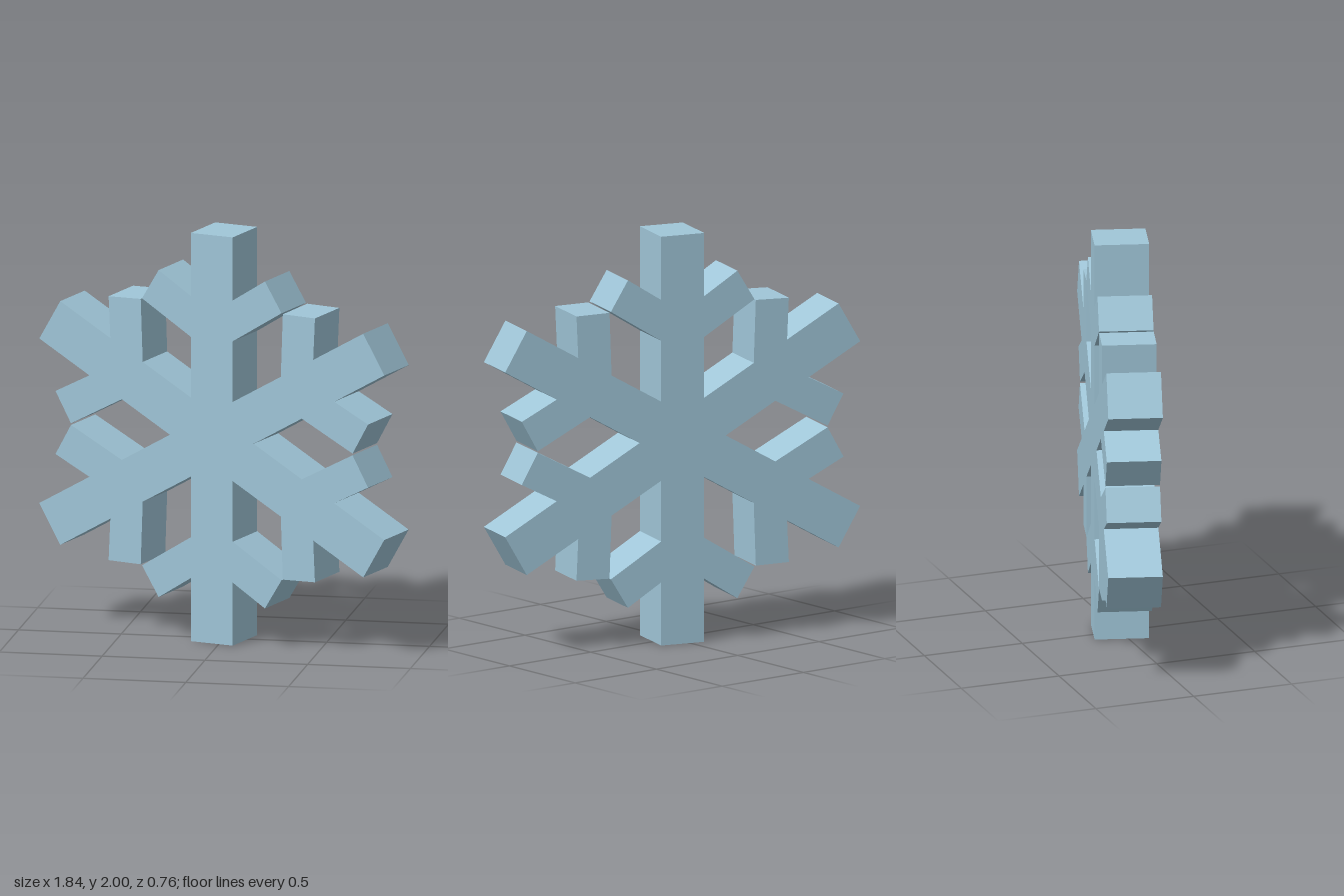
import * as THREE from 'three';

// Right half of one arm, from the inner notch to the tip
const HALF_ARM = [
  [0.112, 0.194],
  [0.112, 0.491], // branch underside
  [0.373, 0.654],
  [0.284, 0.801],
  [0.112, 0.691], // branch upper side
  [0.112, 1.0],
];
const DEPTH = 0.262;

export function createModel() {
  const ice = new THREE.MeshStandardMaterial({ color: 0xa0c6d8 });
  ice.name = 'iceBlue';

  // Mirrored half arms, repeated clockwise around the centre
  const left = HALF_ARM.slice(1).map(([x, y]) => [-x, y]);
  const arm = [...left, ...HALF_ARM.slice().reverse()];
  const outline = [];
  for (let i = 0; i < 6; i++) {
    const a = (i * Math.PI) / 3;
    const c = Math.cos(a), s = Math.sin(a);
    for (const [x, y] of arm) outline.push(new THREE.Vector2(x * c + y * s, y * c - x * s));
  }

  const geometry = new THREE.ExtrudeGeometry(new THREE.Shape(outline), {
    depth: DEPTH,
    bevelEnabled: false,
  });
  geometry.translate(0, 0, -DEPTH / 2);

  const snowflake = new THREE.Mesh(geometry, ice);
  snowflake.name = 'snowflake';
  snowflake.position.y = 1;
  snowflake.rotation.y = THREE.MathUtils.degToRad(-16);

  const model = new THREE.Group();
  model.name = 'snowflakeModel';
  model.add(snowflake);
  return model;
}
